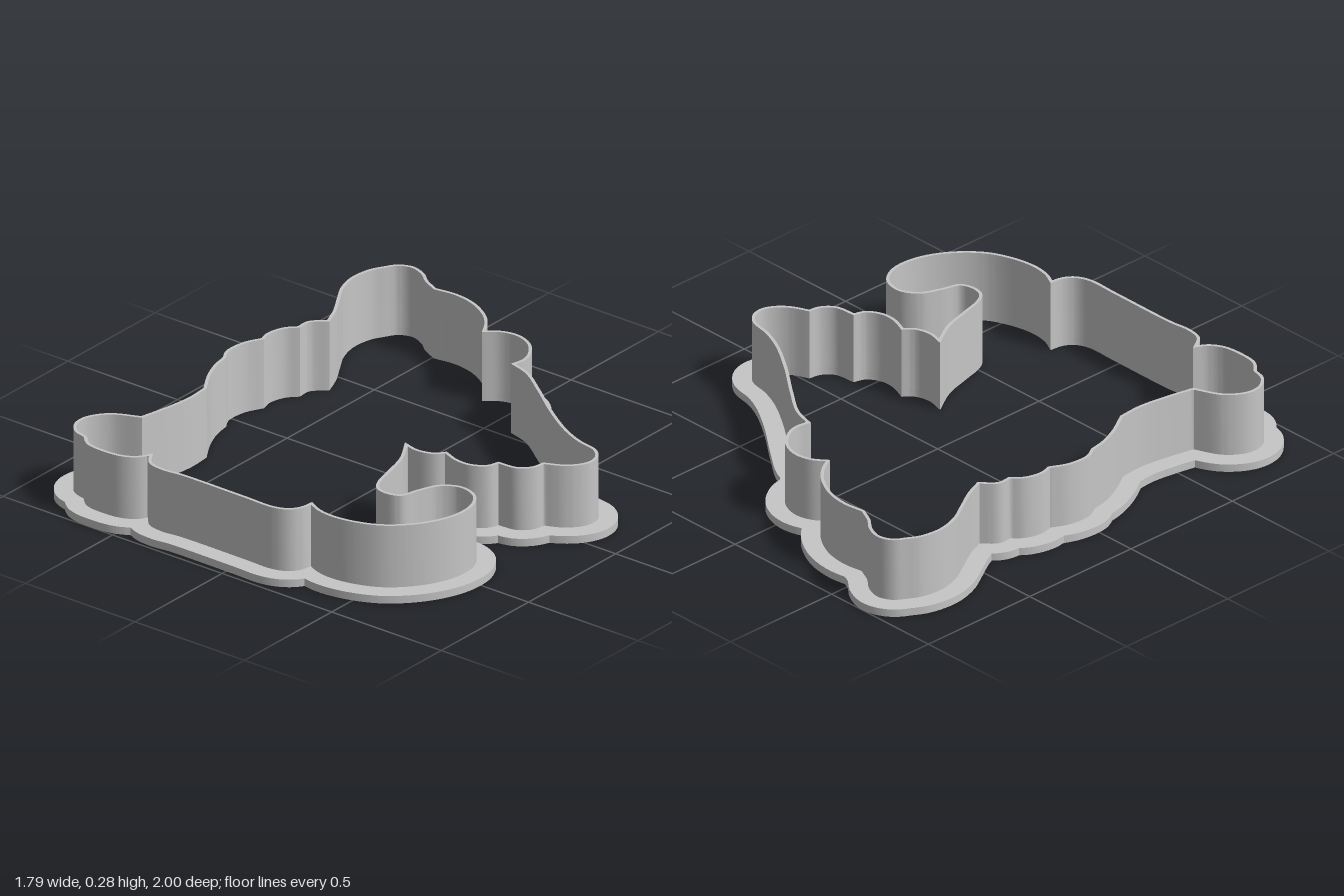
import * as THREE from 'three';
import { toCreasedNormals } from 'three/addons/utils/BufferGeometryUtils.js';

const WALL = 0.012, RIM = 0.082, RIM_HEIGHT = 0.03, HEIGHT = 0.275;

// Inner outline, clockwise, as smooth arcs [x, z, ...] that meet at sharp corners.
const ears = [
  [-.622, -.397, -.655, -.476, -.708, -.566, -.75, -.64, -.772, -.725, -.762, -.81, -.738, -.857,
    -.71, -.899, -.662, -.918, -.604, -.899, -.556, -.862, -.493, -.831],
  [-.493, -.831, -.405, -.841, -.315, -.825, -.225, -.775, -.177, -.725, -.143, -.668],
  [-.143, -.668, -.087, -.709, -.024, -.72, .045, -.693, .093, -.635, .108, -.587, .098, -.532],
];
const face = [
  [.098, -.532, .188, -.503, .304, -.423, .452, -.312, .585, -.228, .675, -.19, .762, -.169,
    .8, -.132, .808, -.09, .79, -.048, .752, -.011, .685, .021],
  [.685, .021, .675, .069, .638, .106, .556, .116],
  [.556, .116, .542, .159, .495, .19, .437, .193, .362, .167],
  [.362, .167, .331, .201, .272, .217, .198, .201],
];
const tail = [
  [.198, .201, .262, .312, .294, .423, .32, .513, .352, .556, .405, .568, .458, .547, .484, .471,
    .516, .402, .579, .365, .653, .386, .696, .455, .696, .556, .648, .667, .558, .762,
    .463, .806, .368, .822, .299, .813, .239, .785],
];
const feetAndBack = [
  [.239, .785, .231, .838, .205, .875, .154, .896, .03, .896, -.262, .896, -.341, .904, -.405, .891, -.45, .831],
  [-.45, .831, -.479, .88, -.526, .909, -.606, .918, -.675, .909, -.722, .87],
  [-.722, .87, -.775, .854, -.812, .806, -.812, .748, -.765, .681, -.66, .63],
  [-.66, .63, -.634, .503, -.621, .397, -.627, .302],
  [-.627, .302, -.681, .212, -.714, .132, -.728, .063],
  [-.728, .063, -.752, .016, -.747, -.069, -.715, -.138],
  [-.715, -.138, -.726, -.185, -.71, -.249, -.673, -.291],
  [-.673, -.291, -.673, -.344, -.622, -.397],
];

// Sample every arc evenly; shape y is -z so the extrusion can be laid flat.
function sampleOutline() {
  const out = [];
  for (const arc of [...ears, ...face, ...tail, ...feetAndBack]) {
    const pts = [];
    for (let i = 0; i < arc.length; i += 2) pts.push(new THREE.Vector3(arc[i], -arc[i + 1], 0));
    const curve = new THREE.CatmullRomCurve3(pts, false, 'centripetal');
    const n = Math.ceil(curve.getLength() / 0.009);
    for (const p of curve.getSpacedPoints(n).slice(0, -1)) out.push(new THREE.Vector2(p.x, p.y));
  }
  return out;
}

// Push the outline outward, dropping points that fall too near another stretch of it.
function offsetOutline(pts, d) {
  const n = pts.length;
  return pts.map((p, i) => {
    const t = pts[(i + 1) % n].clone().sub(pts[(i + n - 1) % n]).normalize();
    return new THREE.Vector2(p.x - t.y * d, p.y + t.x * d);
  }).filter((q) => pts.every((p) => p.distanceTo(q) > d * 0.98));
}

// Band between the inner outline and its offset, extruded upward from y.
function band(name, inner, width, y, height, material) {
  const shape = new THREE.Shape(offsetOutline(inner, width));
  // The hole runs against the outer edge so that its walls face inward.
  shape.holes.push(new THREE.Path([...inner].reverse()));
  const geometry = new THREE.ExtrudeGeometry(shape, { depth: height, bevelEnabled: false });
  geometry.rotateX(-Math.PI / 2);
  const mesh = new THREE.Mesh(toCreasedNormals(geometry, 0.5), material);
  mesh.position.y = y;
  mesh.name = name;
  return mesh;
}

export function createModel() {
  const group = new THREE.Group();
  group.name = 'cookieCutter';
  const grey = new THREE.MeshStandardMaterial({ color: 0xc6c6c6 });
  grey.name = 'grey plastic';
  const inner = sampleOutline();
  group.add(
    band('gripRim', inner, RIM, 0, RIM_HEIGHT, grey),
    band('cuttingWall', inner, WALL, RIM_HEIGHT, HEIGHT - RIM_HEIGHT, grey),
  );
  return group;
}
